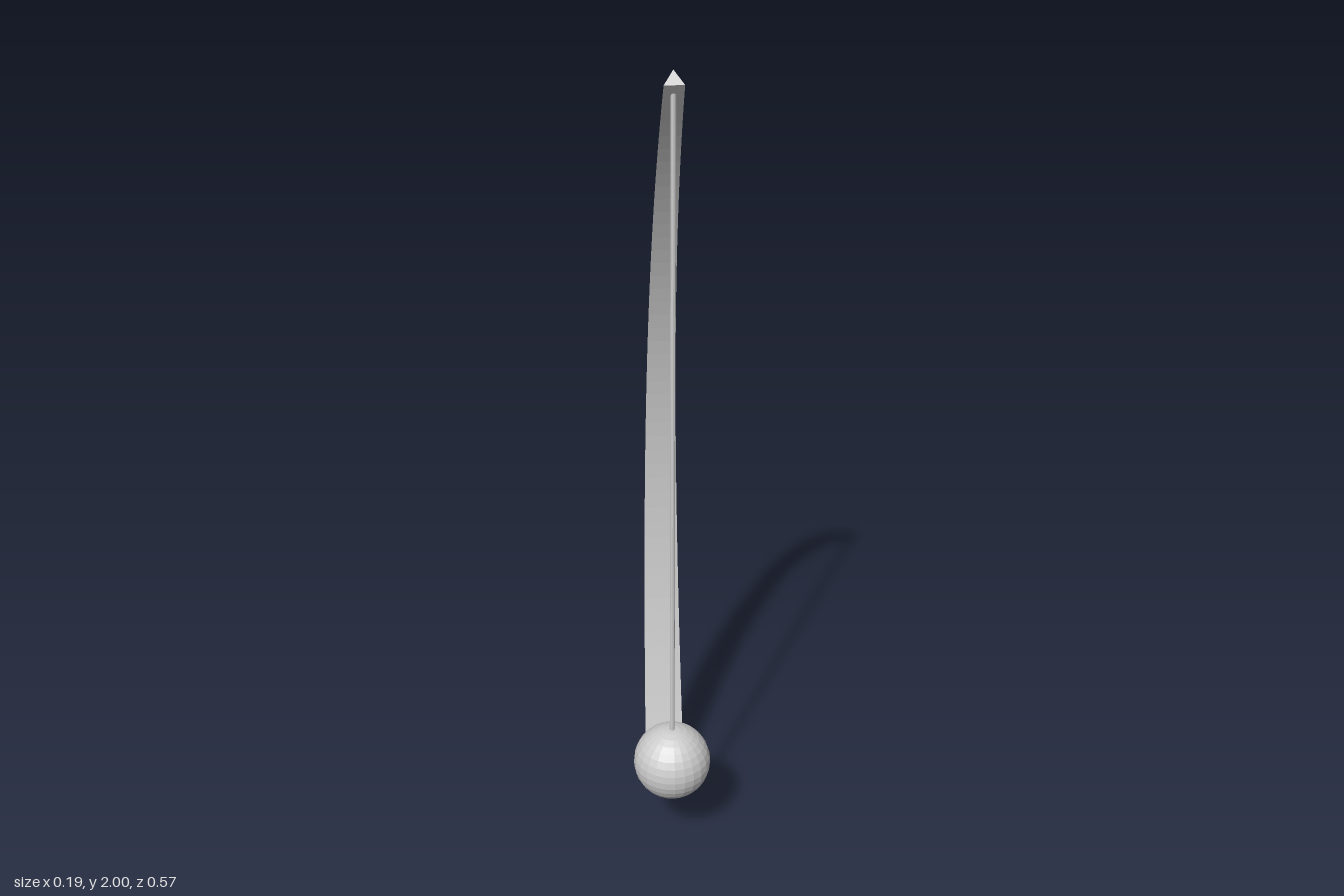
import * as THREE from 'three';

const material = new THREE.MeshStandardMaterial({ color: 0xcccccc, flatShading: true });

function addPart(group, name, geometry, x = 0, y = 0, z = 0) {
  const mesh = new THREE.Mesh(geometry, material);
  mesh.name = name;
  mesh.position.set(x, y, z);
  group.add(mesh);
}

// Triangular bar swept along a curve in the yz plane, ridge on the back, tapering from r0 to r1
function taperedBar(curve, r0, r1, segments) {
  const positions = [];
  const index = [];
  for (let i = 0; i <= segments; i++) {
    const t = i / segments;
    const centre = curve.getPoint(t);
    const tangent = curve.getTangent(t);
    const r = THREE.MathUtils.lerp(r0, r1, t);
    for (let j = 0; j < 3; j++) {
      const a = (j * Math.PI * 2) / 3;
      const out = r * Math.cos(a);
      positions.push(-r * Math.sin(a), centre.y + out * tangent.z, centre.z - out * tangent.y);
    }
  }
  for (let i = 0; i < segments; i++) {
    for (let j = 0; j < 3; j++) {
      const a = i * 3 + j;
      const b = i * 3 + ((j + 1) % 3);
      index.push(a, b, b + 3, a, b + 3, a + 3);
    }
  }
  // End caps
  const top = segments * 3;
  index.push(0, 2, 1, top, top + 1, top + 2);
  const geometry = new THREE.BufferGeometry();
  geometry.setAttribute('position', new THREE.Float32BufferAttribute(positions, 3));
  geometry.setIndex(index);
  const flat = geometry.toNonIndexed();
  flat.computeVertexNormals();
  return flat;
}

export function createModel() {
  const group = new THREE.Group();
  group.name = 'hangingBallOnCurvedArm';

  // Curved arm, thick at the foot and thin at the tip
  const armCurve = new THREE.QuadraticBezierCurve3(
    new THREE.Vector3(0, 0.019, -0.098),
    new THREE.Vector3(0, 1.2, -0.485),
    new THREE.Vector3(0, 1.984, 0.202)
  );
  addPart(group, 'curvedArm', taperedBar(armCurve, 0.06, 0.025, 48));

  // Cord from the tip down into the ball
  const hangZ = 0.188;
  const ballY = 0.253;
  const ballRadius = 0.097;
  const cordTop = 1.975;
  const cordBottom = ballY + ballRadius - 0.01;
  addPart(group, 'cord', new THREE.CylinderGeometry(0.006, 0.006, cordTop - cordBottom, 8),
    0, (cordTop + cordBottom) / 2, hangZ);

  // Hanging ball
  addPart(group, 'ball', new THREE.SphereGeometry(ballRadius, 24, 16), 0, ballY, hangZ);

  return group;
}
